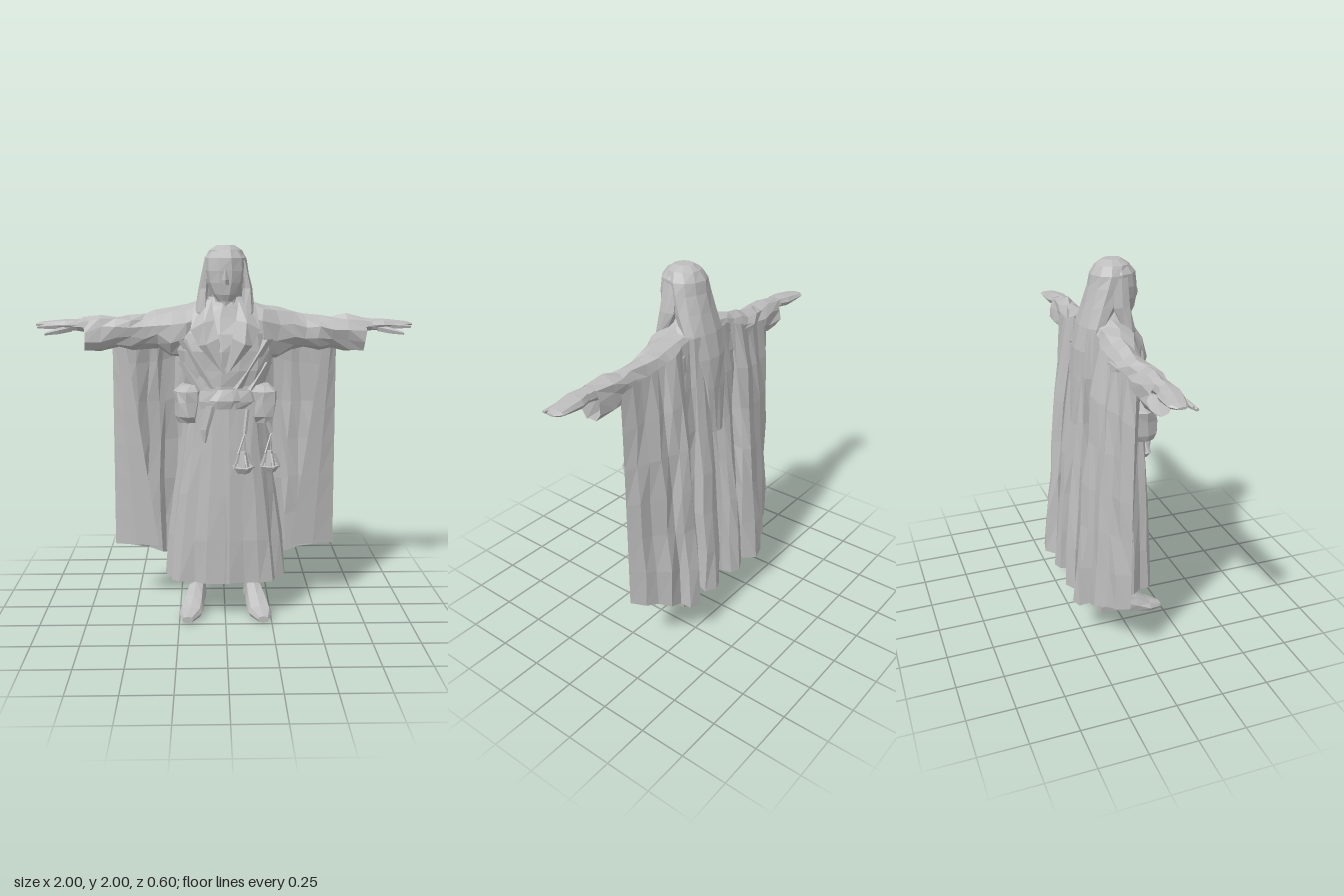
import * as THREE from 'three';

const cloth = new THREE.MeshStandardMaterial({ color: 0xbcbcbc });
cloth.name = 'stone grey';
cloth.flatShading = true;
cloth.side = THREE.DoubleSide;

// seeded jitter for the chiselled facets
let seed = 7;
const jitter = (a) => {
  seed = (seed * 16807) % 2147483647;
  return (seed / 2147483647 - 0.5) * 2 * a;
};

function mesh(name, geometry) {
  const m = new THREE.Mesh(geometry, cloth);
  m.name = name;
  return m;
}

// skin a list of equal-length point rows; wrap closes each row, caps fill the ends
function skin(rows, wrap = true, caps = false) {
  const n = rows[0].length, pos = rows.flat(2), idx = [];
  for (let i = 0; i < rows.length - 1; i++) {
    for (let j = 0; j < (wrap ? n : n - 1); j++) {
      const k = (j + 1) % n, a = i * n + j, b = i * n + k, c = a + n, d = b + n;
      idx.push(a, b, d, a, d, c);
    }
  }
  if (caps) {
    const e = (rows.length - 1) * n;
    for (let j = 1; j < n - 1; j++) idx.push(0, j + 1, j, e, e + j, e + j + 1);
  }
  const g = new THREE.BufferGeometry();
  g.setAttribute('position', new THREE.Float32BufferAttribute(pos, 3));
  g.setIndex(idx);
  g.computeVertexNormals();
  return g;
}

// loft along an axis; each section is [cx, cy, cz, radius1, radius2]
function loft(axis, sections, { n = 10, noise = 0, caps = true, pow = 1, pleat = 0 } = {}) {
  const sq = (v) => Math.sign(v) * Math.abs(v) ** pow;
  return skin(sections.map(([x, y, z, r1, r2], s) => Array.from({ length: n }, (_, j) => {
    const t = (j / n) * Math.PI * 2;
    const f = 1 - (j % 3 === 1 ? pleat : 0) * (1 - s / sections.length);
    const c = sq(Math.cos(t)) * r1 * f + jitter(noise), d = sq(Math.sin(t)) * r2 * f + jitter(noise);
    if (axis === 'y') return [x + c, y, z - d];
    if (axis === 'x') return [x + jitter(noise), y + c, z + d];
    return [x + c, y + d, z];
  })), true, caps);
}

// straight rod between two points
function rod(name, a, b, r = 0.006) {
  const p = new THREE.Vector3(...a), q = new THREE.Vector3(...b);
  const m = mesh(name, new THREE.CylinderGeometry(r, r, p.distanceTo(q), 4));
  m.position.copy(p).lerp(q, 0.5);
  m.quaternion.setFromUnitVectors(new THREE.Vector3(0, 1, 0), q.sub(p).normalize());
  return m;
}

// shallow cloth crease facing forward, running from a to b
function crease(a, b, w) {
  const edge = ([x, y, z], dx, dz) => [x + dx, y, z + dz];
  return mesh('clothFold', skin([a, b].map((p) => [edge(p, -w, -0.02), edge(p, 0, 0.008), edge(p, w, -0.02)]), false));
}

function makeHead() {
  const g = new THREE.Group();
  g.name = 'head';
  g.add(mesh('neck', loft('y', [[0, 1.58, 0.01, 0.08, 0.08], [0, 1.76, 0.03, 0.065, 0.07]], { n: 8 })));
  g.add(mesh('face', loft('y', [
    [0, 1.715, 0.09, 0.035, 0.03], [0, 1.75, 0.075, 0.065, 0.065], [0, 1.81, 0.055, 0.092, 0.088],
    [0, 1.87, 0.045, 0.104, 0.1], [0, 1.935, 0.04, 0.104, 0.1], [0, 1.98, 0.03, 0.075, 0.075]], { n: 10, noise: 0.003 })));
  g.add(mesh('nose', loft('y', [
    [0, 1.8, 0.135, 0.022, 0.022], [0, 1.825, 0.142, 0.018, 0.02], [0, 1.88, 0.13, 0.012, 0.014]], { n: 4 })));
  g.add(mesh('hair', loft('y', [
    [0, 1.15, -0.185, 0.05, 0.025], [0, 1.4, -0.165, 0.085, 0.035], [0, 1.56, -0.13, 0.125, 0.058],
    [0, 1.68, -0.09, 0.14, 0.075], [0, 1.78, -0.045, 0.132, 0.085], [0, 1.87, -0.015, 0.12, 0.09],
    [0, 1.93, 0.005, 0.11, 0.1], [0, 1.975, 0.02, 0.085, 0.085], [0, 2, 0.02, 0.045, 0.05]], { n: 11, noise: 0.004 })));
  for (const s of [1, -1]) {
    g.add(mesh('hairLock', loft('y', [
      [s * 0.1, 1.57, 0.1, 0.012, 0.018], [s * 0.12, 1.66, 0.07, 0.034, 0.035],
      [s * 0.115, 1.78, 0.03, 0.026, 0.05], [s * 0.096, 1.92, 0.03, 0.015, 0.045]], { n: 6, noise: 0.004 })));
  }
  return g;
}

function makeArm() {
  const g = new THREE.Group();
  g.add(mesh('sleeve', loft('x', [
    [0.08, 1.59, -0.02, 0.13, 0.11], [0.2, 1.56, -0.015, 0.145, 0.125], [0.28, 1.55, -0.03, 0.135, 0.1],
    [0.36, 1.56, -0.035, 0.1, 0.08], [0.43, 1.555, -0.035, 0.088, 0.07], [0.5, 1.545, -0.03, 0.09, 0.07],
    [0.57, 1.55, -0.025, 0.085, 0.065], [0.65, 1.54, -0.025, 0.095, 0.068],
    [0.745, 1.53, -0.02, 0.09, 0.066]], { n: 10, noise: 0.013, caps: false })));
  g.add(mesh('forearm', loft('x', [
    [0.55, 1.56, -0.02, 0.05, 0.045], [0.74, 1.585, -0.015, 0.038, 0.045], [0.82, 1.588, -0.015, 0.026, 0.048]], { n: 7 })));
  g.add(mesh('hand', loft('x', [
    [0.78, 1.588, -0.015, 0.03, 0.045], [0.84, 1.587, -0.022, 0.03, 0.06], [0.91, 1.588, -0.03, 0.022, 0.054],
    [0.97, 1.59, -0.04, 0.013, 0.046], [1, 1.588, -0.035, 0.006, 0.022]], { n: 8, pow: 0.8 })));
  g.add(mesh('foreFinger', loft('x', [
    [0.87, 1.582, 0.012, 0.018, 0.016], [0.93, 1.58, 0.02, 0.014, 0.013], [0.985, 1.578, 0.024, 0.007, 0.008]], { n: 5 })));
  g.add(mesh('thumb', loft('x', [
    [0.81, 1.57, 0.01, 0.02, 0.02], [0.87, 1.558, 0.04, 0.018, 0.016], [0.94, 1.545, 0.065, 0.008, 0.009]], { n: 5 })));
  return g;
}

function makeLeg() {
  const g = new THREE.Group();
  g.add(mesh('shin', loft('y', [
    [0.15, 0.05, -0.035, 0.045, 0.052], [0.15, 0.16, -0.025, 0.042, 0.05], [0.15, 0.25, -0.02, 0.05, 0.058],
    [0.14, 0.5, -0.01, 0.06, 0.06]], { n: 8, noise: 0.003 })));
  g.add(mesh('foot', loft('z', [
    [0.14, 0.045, -0.1, 0.03, 0.045], [0.145, 0.065, -0.05, 0.042, 0.065], [0.16, 0.078, 0.02, 0.048, 0.078],
    [0.175, 0.055, 0.1, 0.06, 0.055], [0.19, 0.032, 0.17, 0.065, 0.032], [0.205, 0.02, 0.24, 0.03, 0.018]],
  { n: 8, pow: 0.75 })));
  return g;
}

// half of the cloak: columns of [topX, topY, topZ, bottomX, bottomY, bottomZ] from spine to turned-in hem
function makeCape() {
  const columns = [
    [0, 1.66, -0.13, 0, 0.23, -0.19], [0.03, 1.67, -0.135, 0.04, 0.215, -0.22], [0.05, 1.67, -0.14, 0.06, 0.21, -0.27],
    [0.09, 1.68, -0.145, 0.11, 0.21, -0.29], [0.13, 1.68, -0.14, 0.175, 0.215, -0.26], [0.15, 1.68, -0.125, 0.155, 0.22, -0.19],
    [0.2, 1.66, -0.12, 0.24, 0.22, -0.175], [0.23, 1.65, -0.13, 0.21, 0.215, -0.25], [0.27, 1.64, -0.14, 0.27, 0.21, -0.3],
    [0.33, 1.61, -0.12, 0.34, 0.22, -0.285], [0.37, 1.6, -0.11, 0.36, 0.24, -0.235], [0.42, 1.59, -0.11, 0.44, 0.27, -0.235],
    [0.48, 1.58, -0.1, 0.49, 0.295, -0.185], [0.54, 1.57, -0.1, 0.56, 0.315, -0.16], [0.605, 1.54, -0.08, 0.618, 0.34, -0.1],
    [0.575, 1.5, -0.05, 0.5, 0.345, -0.06], [0.53, 1.48, -0.04, 0.37, 0.35, -0.035]];
  const rows = [];
  for (let i = 0; i <= 6; i++) {
    const v = i / 6, fall = v ** 0.7;
    rows.push(columns.map((c, j) => {
      const wob = i % 6 && j && j < 14 ? 0.011 : 0;
      return [c[0] + (c[3] - c[0]) * v + jitter(wob), c[1] + (c[4] - c[1]) * v, c[2] + (c[5] - c[2]) * fall + jitter(wob)];
    }));
  }
  return mesh('cape', skin(rows, false));
}

// small hanging cage lantern with cords from the belt
function makeLantern(x, z, r) {
  const g = new THREE.Group();
  g.name = 'lantern';
  const top = [x + 0.01, 1.04, z - 0.03];
  for (let i = 0; i < 5; i++) {
    const a = (i / 5) * Math.PI * 2, b = ((i + 1) / 5) * Math.PI * 2;
    const at = (t, y, k) => [x + Math.cos(t) * r * k, y, z + Math.sin(t) * r * k];
    g.add(rod('lanternRib', at(a, 0.94, 0.45), at(a, 0.87, 1)));
    g.add(rod('lanternRim', at(a, 0.87, 1), at(b, 0.87, 1)));
    if (i % 2 === 0) g.add(rod('lanternCord', top, at(a, 0.94, 0.6), 0.005));
  }
  g.add(mesh('lanternBase', loft('y', [[x, 0.838, z, r * 0.6, r * 0.6], [x, 0.87, z, r, r]], { n: 5 })));
  g.add(mesh('lanternCore', loft('y', [[x, 0.86, z, r * 0.6, r * 0.6], [x, 0.95, z, r * 0.3, r * 0.3]], { n: 5 })));
  g.add(rod('lanternStrap', top, [x * 0.6 + 0.06, 1.16, 0.17], 0.011));
  return g;
}

export function createModel() {
  const model = new THREE.Group();
  model.name = 'robedFigure';
  model.add(makeHead());

  // robe
  model.add(mesh('robeTorso', loft('y', [
    [0, 1.16, 0.03, 0.2, 0.145], [0, 1.28, 0.025, 0.215, 0.14], [0, 1.36, 0.02, 0.24, 0.148], [0, 1.46, 0.015, 0.26, 0.153],
    [0, 1.55, 0.005, 0.255, 0.153], [0, 1.63, -0.015, 0.22, 0.135], [0, 1.69, -0.02, 0.16, 0.11],
    [0, 1.735, -0.015, 0.1, 0.085]], { n: 15, noise: 0.01 })));
  model.add(mesh('robeSkirt', loft('y', [
    [0, 0.21, 0.035, 0.335, 0.168], [0, 0.45, 0.035, 0.31, 0.168], [0, 0.7, 0.035, 0.275, 0.165],
    [0, 0.95, 0.035, 0.235, 0.158], [0, 1.2, 0.03, 0.2, 0.15]], { n: 24, noise: 0.006, caps: false, pow: 0.82, pleat: 0.1 })));
  model.add(mesh('robeFrontEdge', skin([
    [[-0.018, 0.21, 0.2], [0.02, 0.21, 0.207]], [[-0.015, 0.7, 0.2], [0.02, 0.7, 0.205]],
    [[-0.01, 1.17, 0.183], [0.018, 1.17, 0.187]]], false)));

  // belt
  model.add(mesh('belt', loft('y', [
    [0, 1.165, 0.035, 0.208, 0.152], [0, 1.2, 0.035, 0.217, 0.158], [0, 1.255, 0.03, 0.212, 0.15]], { n: 14, noise: 0.006 })));
  model.add(mesh('beltKnot', loft('y', [
    [-0.01, 1.165, 0.18, 0.07, 0.014], [0, 1.21, 0.186, 0.08, 0.018], [0.01, 1.265, 0.175, 0.05, 0.012]], { n: 6, noise: 0.004 })));
  model.add(mesh('sashEnd', loft('y', [
    [-0.11, 0.99, 0.195, 0.008, 0.006], [-0.11, 1.06, 0.195, 0.025, 0.012], [-0.08, 1.18, 0.185, 0.03, 0.012]], { n: 5 })));

  for (const s of [1, -1]) {
    const side = new THREE.Group();
    side.name = s > 0 ? 'leftSide' : 'rightSide';
    side.scale.x = s;
    const arm = makeArm(), leg = makeLeg();
    arm.name = 'arm';
    leg.name = 'leg';
    side.add(arm, leg, makeCape());
    // crossing lapel and chest folds
    side.add(mesh('lapel', skin([
      [[0.07, 1.72, 0.075], [0.11, 1.725, 0.055], [0.16, 1.69, 0.06]],
      [[0.055, 1.62, 0.13], [0.11, 1.61, 0.145], [0.18, 1.57, 0.125]],
      [[0.035, 1.53, 0.162], [0.1, 1.5, 0.177], [0.14, 1.49, 0.145]],
      [[-0.01, 1.34, 0.16], [0.02, 1.36, 0.172], [0.06, 1.4, 0.16]]], false)));
    side.add(crease([0.22, 1.52, 0.115], [0.06, 1.27, 0.165], 0.03));
    side.add(crease([0.22, 1.4, 0.1], [0.13, 1.26, 0.15], 0.03));
    // belt pouch
    side.add(mesh('pouch', loft('y', [
      [0.2, 1.09, 0.115, 0.045, 0.065], [0.2, 1.125, 0.12, 0.06, 0.078], [0.198, 1.2, 0.12, 0.064, 0.082],
      [0.198, 1.255, 0.115, 0.068, 0.075], [0.19, 1.285, 0.1, 0.045, 0.055]], { n: 8, pow: 0.65, noise: 0.009 })));
    model.add(side);
  }

  model.add(makeLantern(0.09, 0.235, 0.058), makeLantern(0.23, 0.21, 0.052));
  return model;
}
